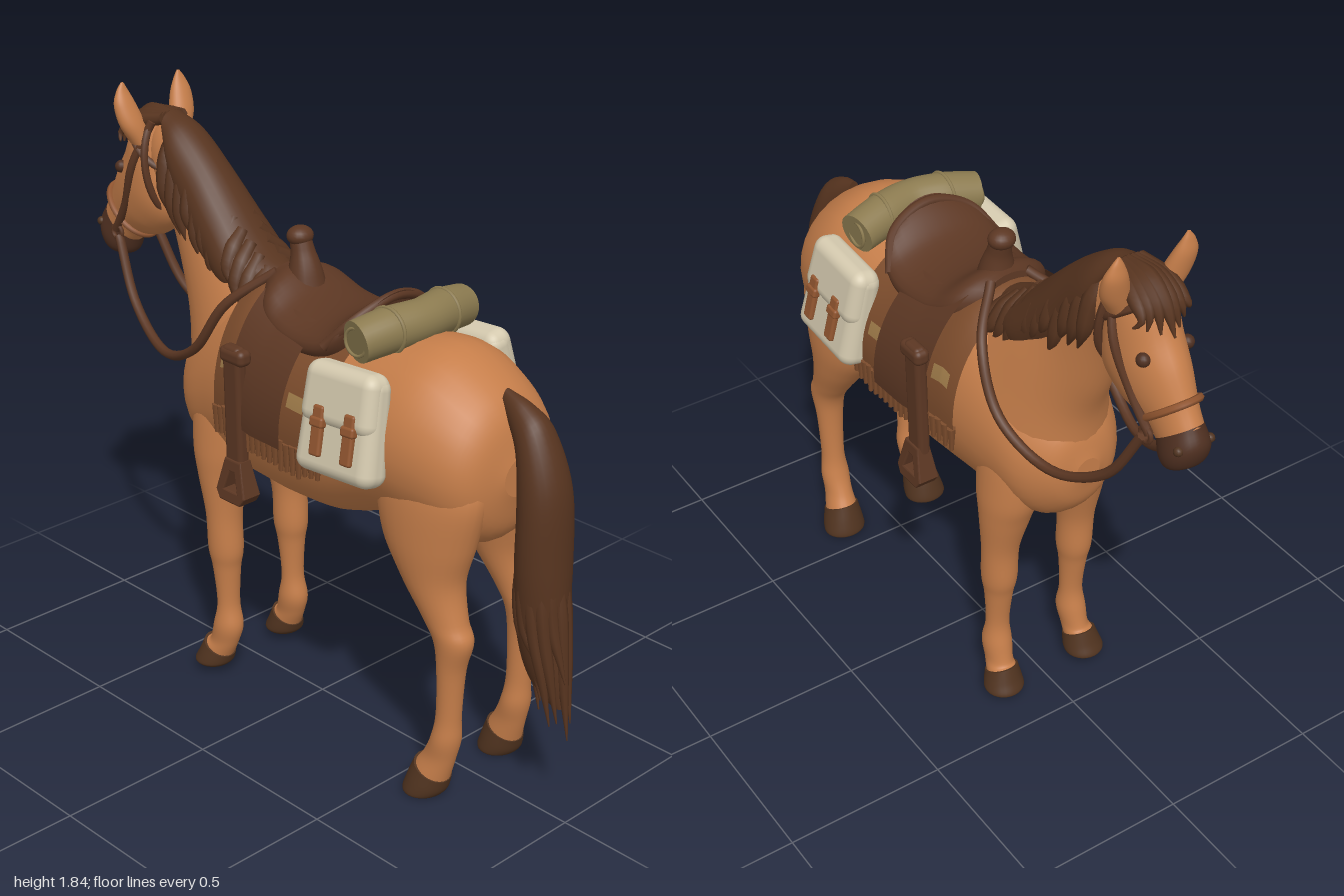
import * as THREE from 'three';
import { RoundedBoxGeometry } from 'three/addons/geometries/RoundedBoxGeometry.js';

const V = (x, y, z = 0) => new THREE.Vector3(x, y, z);
const lerp = THREE.MathUtils.lerp;
const material = (name, color, side = THREE.FrontSide) => {
  const m = new THREE.MeshStandardMaterial({ color, side });
  m.name = name;
  return m;
};

// Skin over a list of rings with crisp end caps, always facing outwards
function skin(rings) {
  const n = rings[0].length, pos = [], idx = [];
  rings.forEach(r => r.forEach(p => pos.push(p.x, p.y, p.z)));
  for (let i = 0; i < rings.length - 1; i++)
    for (let j = 0; j < n; j++) {
      const a = i * n + j, b = i * n + (j + 1) % n;
      idx.push(a, b, a + n, b, b + n, a + n);
    }
  [rings[0], rings[rings.length - 1]].forEach((r, end) => {
    const base = pos.length / 3, c = V(0, 0);
    r.forEach(p => { pos.push(p.x, p.y, p.z); c.add(p); });
    c.divideScalar(n);
    pos.push(c.x, c.y, c.z);
    for (let j = 0; j < n; j++) {
      const k = (j + 1) % n;
      idx.push(base + n, base + (end ? j : k), base + (end ? k : j));
    }
  });
  const at = i => V(pos[i * 3], pos[i * 3 + 1], pos[i * 3 + 2]);
  let volume = 0;
  for (let i = 0; i < idx.length; i += 3) volume += at(idx[i]).dot(at(idx[i + 1]).cross(at(idx[i + 2])));
  if (volume < 0) idx.reverse();
  const g = new THREE.BufferGeometry();
  g.setAttribute('position', new THREE.Float32BufferAttribute(pos, 3));
  g.setIndex(idx);
  g.computeVertexNormals();
  return g;
}

// Elliptical section: two outline points (x1,y1) (x2,y2), half width in z, centre z
function ellipse([x1, y1, x2, y2, b, cz = 0], n = 28, grow = 0) {
  const c = V((x1 + x2) / 2, (y1 + y2) / 2, cz), h = V((x1 - x2) / 2, (y1 - y2) / 2);
  h.setLength(h.length() + grow);
  return Array.from({ length: n }, (_, j) => {
    const t = j / n * Math.PI * 2;
    return c.clone().addScaledVector(h, Math.cos(t)).add(V(0, 0, (b + grow) * Math.sin(t)));
  });
}

// Smooth loft through sections
function loft(sections, side = 1, steps = 6) {
  const curve = f => new THREE.CatmullRomCurve3(sections.map(f), false, 'catmullrom', 0.5);
  const p = curve(s => V(s[0], s[1])), q = curve(s => V(s[2], s[3])), w = curve(s => V(s[4], (s[5] || 0) * side));
  const n = (sections.length - 1) * steps;
  return skin(Array.from({ length: n + 1 }, (_, i) => {
    const a = p.getPoint(i / n), b = q.getPoint(i / n), c = w.getPoint(i / n);
    return ellipse([a.x, a.y, b.x, b.y, Math.max(c.x, 0.003), c.y]);
  }));
}

// Tube with a radius that follows a list of values
function taper(points, radii, n = 8, steps = 14) {
  const curve = new THREE.CatmullRomCurve3(points), f = curve.computeFrenetFrames(steps);
  return skin(Array.from({ length: steps + 1 }, (_, i) => {
    const u = i / steps * (radii.length - 1), k = Math.min(Math.floor(u), radii.length - 2);
    const r = lerp(radii[k], radii[k + 1], u - k), c = curve.getPointAt(i / steps);
    return Array.from({ length: n }, (_, j) => {
      const t = j / n * Math.PI * 2;
      return c.clone().addScaledVector(f.normals[i], r * Math.cos(t)).addScaledVector(f.binormals[i], r * Math.sin(t));
    });
  }));
}

// Trunk: x, middle y, half height, half width
const trunk = [[-.53, .95, .04, .04], [-.5, .95, .14, .115], [-.42, .95, .22, .178], [-.3, 1, .29, .21], [-.15, 1.03, .33, .235],
  [0, 1.01, .31, .25], [.2, 1.01, .29, .26], [.4, 1.06, .27, .26], [.55, 1.06, .275, .255], [.68, 1.03, .24, .225], [.75, 1.02, .175, .17], [.785, 1.02, .06, .07]];
function trunkAt(x) {
  const i = Math.max(0, trunk.findIndex(s => s[0] >= x) - 1), a = trunk[i], b = trunk[i + 1];
  return a.map((v, k) => lerp(v, b[k], (x - a[0]) / (b[0] - a[0])));
}
// Point on the trunk at angle t from the spine, raised by off
const onTrunk = (x, t, off) => {
  const [, m, h, w] = trunkAt(x);
  return V(x, m + (h + off) * Math.cos(t), (w + off) * Math.sin(t));
};
// Sheet lying over the trunk
function drape(x0, x1, t0, t1, off) {
  const g = new THREE.PlaneGeometry(1, 1, 14, 30), p = g.attributes.position;
  for (let i = 0; i < p.count; i++) {
    const v = onTrunk(lerp(x0, x1, p.getX(i) + .5), lerp(t0, t1, p.getY(i) + .5), off);
    p.setXYZ(i, v.x, v.y, v.z);
  }
  g.computeVertexNormals();
  return g;
}

export function createModel() {
  const coat = material('chestnut coat', 0xc67e4a), hair = material('dark hair', 0x57341f);
  const hoofMat = material('hoof', 0x50331f), muzzleMat = material('dark muzzle', 0x4e2f20);
  const leather = material('saddle leather', 0x5c3723, THREE.DoubleSide), strap = material('tan strap', 0x925630);
  const cloth = material('blanket', 0x7c4c2c, THREE.DoubleSide), patch = material('blanket patch', 0xa07c4a, THREE.DoubleSide);
  const canvas = material('canvas', 0xd4c9ae), roll = material('bedroll cloth', 0x8c7b50);
  const model = new THREE.Group();
  const add = (name, geo, mat, x = 0, y = 0, z = 0) => {
    const m = new THREE.Mesh(geo, mat);
    m.name = name;
    m.position.set(x, y, z);
    model.add(m);
    return m;
  };
  let seed = 7;
  const rnd = () => (seed = (seed * 16807) % 2147483647) / 2147483647;

  // Trunk, neck, head
  add('trunk', loft(trunk.map(([x, m, h, w]) => [x, m + h, x, m - h, w])), coat);
  add('neck', loft([[-.51, .93, -.08, 1.3, .185], [-.525, 1.12, -.24, 1.4, .14], [-.58, 1.27, -.38, 1.51, .1],
    [-.64, 1.42, -.5, 1.64, .082], [-.71, 1.52, -.63, 1.73, .075], [-.75, 1.6, -.72, 1.72, .04]]), coat);
  add('head', loft([[-.71, 1.75, -.64, 1.7, .035], [-.8, 1.7, -.63, 1.57, .085], [-.855, 1.6, -.62, 1.43, .096],
    [-.9, 1.53, -.7, 1.35, .085], [-.945, 1.44, -.8, 1.32, .064], [-.975, 1.39, -.845, 1.29, .058]]), coat);
  add('muzzle', loft([[-.972, 1.395, -.845, 1.295, .06], [-1, 1.34, -.865, 1.25, .067],
    [-.985, 1.28, -.89, 1.235, .054], [-.95, 1.25, -.925, 1.235, .02]]), muzzleMat);

  // Mane shell, forelock and tail
  add('mane', loft([[-.66, 1.75, -.62, 1.64, .06], [-.58, 1.72, -.59, 1.52, .09], [-.47, 1.635, -.52, 1.4, .103],
    [-.36, 1.525, -.43, 1.31, .118], [-.26, 1.425, -.32, 1.25, .125], [-.16, 1.375, -.22, 1.3, .07]]), hair);
  for (let i = -3; i <= 3; i++)
    add('forelock', taper([V(-.66, 1.73, i * .012), V(-.76, 1.73 - Math.abs(i) * .008, i * .02), V(-.82, 1.685 - Math.abs(i) * .008, i * .025),
      V(-.865 + Math.abs(i) * .02, 1.61 + Math.abs(i) * .01, i * .03)], [.02, .024, .02, .003]), hair);
  add('tail', loft([[.72, 1.26, .72, 1.18, .02], [.8, 1.235, .765, 1.13, .045], [.87, 1.18, .79, 1.06, .066], [.935, 1.02, .8, .93, .085],
    [.95, .8, .8, .76, .088], [.955, .6, .81, .56, .07], [.965, .46, .85, .43, .042], [.965, .36, .93, .36, .01]]), hair);
  for (let i = 0; i < 14; i++) {
    const a = i / 14 * Math.PI * 2, c = Math.cos(a), s = Math.sin(a), e = rnd() * .2;
    add('tail strand', taper([V(.865 + c * .05, .85, s * .065), V(.885 + c * .065, .6, s * .06),
      V(.915 + c * .05, .45 + e * .5, s * .05), V(.94 + c * .05, .27 + e, s * .035)], [.012, .022, .017, .002]), hair);
  }

  for (const s of [1, -1]) {
    // Legs and hooves, the heel reaching down behind the hoof
    add('hindLeg', loft([[.5, 1.15, .66, 1.15, .04, .1], [.42, 1.04, .74, 1.05, .085, .115], [.385, .93, .765, .96, .1, .132], [.42, .8, .735, .82, .098, .14],
      [.5, .69, .705, .7, .08, .147], [.58, .59, .725, .59, .06, .15], [.625, .52, .75, .53, .053, .15], [.64, .43, .725, .43, .044, .15],
      [.64, .28, .715, .28, .038, .15], [.625, .2, .715, .2, .046, .15], [.6, .14, .7, .13, .044, .152], [.575, .1, .68, .055, .052, .157]], s), coat);
    add('hindHoof', loft([[.572, .108, .684, .06, .056, .157], [.553, .055, .675, .025, .066, .16], [.541, .012, .662, .006, .07, .162], [.548, 0, .652, 0, .062, .162]], s), hoofMat);
    add('frontLeg', loft([[-.38, 1.08, -.24, 1.08, .03, .1], [-.425, .95, -.19, .95, .075, .11], [-.42, .8, -.2, .8, .086, .12], [-.39, .7, -.225, .7, .076, .13],
      [-.355, .57, -.24, .57, .058, .138], [-.35, .45, -.235, .45, .054, .138], [-.335, .38, -.245, .38, .044, .138], [-.32, .26, -.25, .26, .037, .138],
      [-.335, .18, -.235, .18, .045, .14], [-.35, .12, -.25, .12, .041, .143], [-.365, .11, -.275, .065, .046, .147]], s), coat);
    add('frontHoof', loft([[-.37, .115, -.27, .068, .051, .147], [-.388, .07, -.277, .045, .06, .15], [-.403, .038, -.283, .036, .063, .152], [-.396, .028, -.292, .028, .056, .152]], s), hoofMat);

    // Ears, eyes, nostrils
    add('ear', loft([[-.755, 1.65, -.69, 1.65, .032, .075], [-.768, 1.71, -.702, 1.71, .043, .097], [-.777, 1.77, -.726, 1.77, .037, .11],
      [-.772, 1.81, -.746, 1.81, .021, .112], [-.765, 1.835, -.757, 1.835, .005, .11]], s), coat);
    add('eye', new THREE.SphereGeometry(.02, 14, 10), muzzleMat, -.83, 1.55, s * .071);
    add('nostril', new THREE.SphereGeometry(.014, 10, 8), hoofMat, -.968, 1.335, s * .052);

    // Mane locks on both sides of the crest
    for (let i = 0; i < 12; i++) {
      const u = i / 11, x = lerp(-.62, -.2, u), y = lerp(1.7, 1.37, u), d = lerp(.23, .1, u) + rnd() * .07;
      add('mane lock', taper([V(x, y, s * .03), V(x + .01, y - d * .35, s * lerp(.07, .085, u)),
        V(x + .02, y - d * .7, s * lerp(.086, .115, u)), V(x + .05, y - d, s * lerp(.082, .13, u))], [.02, .03, .025, .003]), hair);
    }

    // Reins, cheek strap and bit ring
    add('rein', taper([V(-.85, 1.32, s * .075), V(-.74, 1.13, s * .105), V(-.55, 1.035, s * .15), V(-.36, 1.11, s * .188),
      V(-.24, 1.28, s * .165), V(-.13, 1.385, s * .06)], [.015, .015], 8, 40), leather);
    add('cheek strap', taper([V(-.685, 1.72, s * .06), V(-.74, 1.58, s * .1), V(-.8, 1.44, s * .084), V(-.87, 1.335, s * .07)], [.013, .013]), leather);
    add('bit ring', new THREE.TorusGeometry(.022, .007, 8, 16), leather, -.86, 1.33, s * .073);

    // Saddle flap, stirrup leather and stirrup
    add('saddle flap', drape(-.11, .13, s * .45, s * 1.68, .042), leather);
    add('stirrup leather', new RoundedBoxGeometry(.07, .4, .04, 3, .015), leather, -.075, 1.03, s * .277).rotation.x = s * .02;
    add('leather keeper', new RoundedBoxGeometry(.1, .05, .05, 3, .018), leather, -.07, 1.2, s * .28);
    const st = new THREE.Shape([[-.03, .065], [.03, .065], [.056, -.035], [.04, -.058], [-.04, -.058], [-.056, -.035]].map(p => new THREE.Vector2(...p)));
    st.holes.push(new THREE.Path([[-.014, .038], [-.034, -.03], [.034, -.03], [.014, .038]].map(p => new THREE.Vector2(...p))));
    const frame = new THREE.ExtrudeGeometry(st, { depth: .05, bevelSize: .005, bevelThickness: .005, bevelSegments: 2 }).translate(0, 0, -.025);
    const fp = frame.attributes.position;
    for (let i = 0; i < fp.count; i++) fp.setZ(i, fp.getZ(i) * (1 - fp.getY(i) * 4));
    frame.computeVertexNormals();
    add('stirrup', frame, leather, -.07, .803, s * .278);

    // Blanket patches and fringe
    for (const x of [-.145, .165]) add('blanket patch', drape(x - .035, x + .035, s * 1.15, s * 1.29, .024), patch);
    for (let i = 0; i < 19; i++) {
      const p = onTrunk(-.2 + i * .026, 1.68, .018);
      add('fringe', new THREE.CylinderGeometry(.014, .007, .07 + rnd() * .03, 6), cloth, p.x, p.y - .032, s * p.z);
    }

    // Saddlebag, slimmer at the top, with flap and two straps
    const bag = new THREE.Group();
    bag.name = 'saddlebag';
    const put = (name, w, h, d, r, mat, x, y, z) => {
      const g = new RoundedBoxGeometry(w, h, d, 4, r), p = g.attributes.position;
      for (let i = 0; i < p.count; i++) {
        const v = p.getY(i) + y;
        p.setX(i, p.getX(i) * (1 - v * .3));
        p.setZ(i, p.getZ(i) * (1 - v * .9));
      }
      bag.add(add(name, g, mat, x, y, z));
    };
    put('bag body', .285, .315, .095, .04, canvas, 0, -.003, 0);
    put('bag flap', .28, .18, .105, .04, canvas, 0, .07, s * .006);
    for (const x of [-.05, .07]) {
      put('bag strap', .04, .145, .02, .008, strap, x, -.03, s * .054);
      put('bag buckle', .05, .03, .026, .008, strap, x, -.005, s * .056);
    }
    bag.position.set(.365, 1.125, s * .263);
    bag.rotation.set(-s * .2, 0, .06);
    model.add(bag);

    // Bedroll ties and end coils
    add('bedroll tie', new THREE.TorusGeometry(.066, .006, 8, 28), roll, .374, 1.357, s * .11);
    add('bedroll coil', new THREE.TorusGeometry(.04, .005, 6, 24), roll, .35, 1.342, s * .21);
  }

  // Bridle bands around the head
  const band = (name, sec, r, mat) => add(name, new THREE.TubeGeometry(new THREE.CatmullRomCurve3(ellipse(sec, 20, .004), true), 48, r, 6, true), mat);
  band('noseband', [-.94, 1.455, -.79, 1.325, .067], .011, strap);
  band('browband', [-.8, 1.695, -.63, 1.565, .087], .012, leather);
  band('throat strap', [-.7, 1.735, -.655, 1.43, .095], .012, leather);

  // Blanket and saddle
  add('blanket', drape(-.21, .28, -1.68, 1.68, .02), cloth);
  add('saddle seat', loft([[-.14, 1.4, -.15, 1.25, .1], [-.08, 1.4, -.08, 1.2, .165], [0, 1.35, 0, 1.19, .19], [.1, 1.335, .09, 1.18, .2],
    [.19, 1.35, .17, 1.19, .2], [.265, 1.4, .22, 1.21, .18], [.305, 1.425, .25, 1.24, .12]]), leather);
  add('cantle rim', new THREE.TubeGeometry(new THREE.CatmullRomCurve3([V(.2, 1.28, -.19), V(.27, 1.365, -.13), V(.293, 1.41, 0), V(.27, 1.365, .13), V(.2, 1.28, .19)]), 30, .016, 8), leather);
  add('saddle horn', taper([V(-.07, 1.33), V(-.075, 1.4), V(-.085, 1.45), V(-.1, 1.5)], [.065, .052, .036, .03], 16), leather);
  add('horn cap', new THREE.SphereGeometry(.038, 20, 12), leather, -.095, 1.49, 0).scale.set(1, .8, 1.1);

  // Bedroll
  add('bedroll', taper([V(.35, 1.342, -.208), V(.372, 1.357, -.11), V(.392, 1.363, 0), V(.372, 1.357, .11), V(.35, 1.342, .208)], [.062, .066, .062, .066, .062], 28, 24), roll);
  return model;
}
